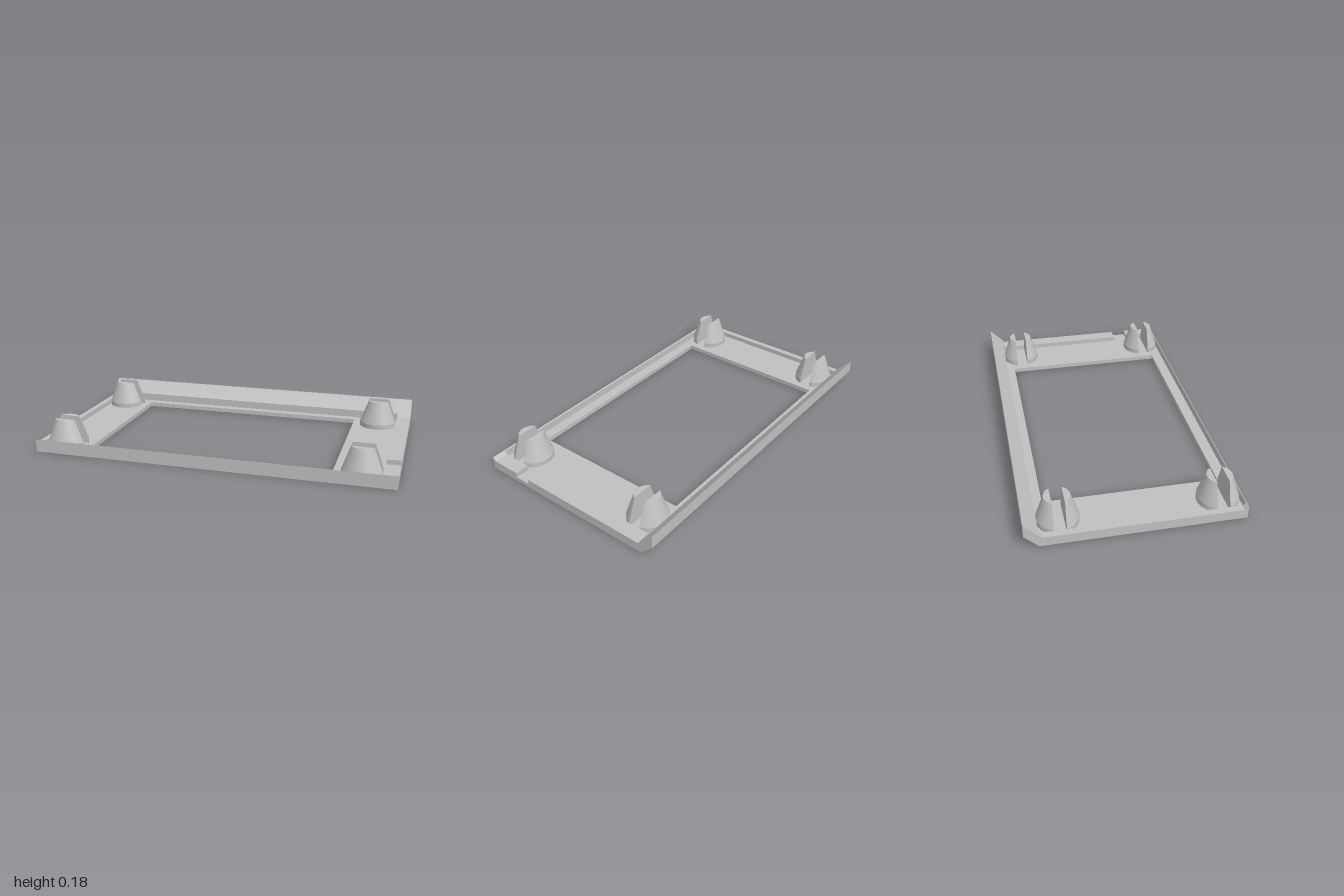
import * as THREE from 'three';
import { toCreasedNormals } from 'three/addons/utils/BufferGeometryUtils.js';

const FLOOR = 0.025, RIM = 0.053;
const X0 = -0.965, X1 = 0.92;      // recess, left to right
const Z0 = -0.49, Z1 = 0.56;       // recess, back to front

// Extrude a (z, y) outline along x from xa to xb
function alongX(points, xa, xb) {
  const shape = new THREE.Shape(points.map(([z, y]) => new THREE.Vector2(z, y)));
  const geo = new THREE.ExtrudeGeometry(shape, { depth: xb - xa, bevelEnabled: false });
  return geo.rotateY(-Math.PI / 2).translate(xb, 0, 0);
}

// Half of a tapered post with a vertical collar, cut flat along the slot
function halfPostGeometry() {
  const levels = [[FLOOR, 0.11], [RIM, 0.11], [0.18, 0.067]];
  const slot = 0.032, n = 24, ring = n + 1;
  const pos = [], index = [];
  for (const [y, r] of levels) {
    const a0 = Math.asin(slot / r);
    for (let k = 0; k <= n; k++) {
      const a = a0 + (Math.PI - 2 * a0) * k / n;
      pos.push(r * Math.cos(a), y, r * Math.sin(a));
    }
  }
  for (let j = 0; j < levels.length - 1; j++) {
    for (let k = 0; k < ring; k++) {
      const a = j * ring + k, b = j * ring + (k + 1) % ring;
      index.push(a, a + ring, b + ring, a, b + ring, b);
    }
  }
  const top = (levels.length - 1) * ring;
  for (let k = 1; k < n; k++) index.push(top, top + k + 1, top + k);
  const geo = new THREE.BufferGeometry();
  geo.setAttribute('position', new THREE.Float32BufferAttribute(pos, 3));
  geo.setIndex(index);
  return toCreasedNormals(geo, 0.3);
}

export function createModel() {
  const model = new THREE.Group();
  model.name = 'bezelFrame';
  const grey = new THREE.MeshStandardMaterial({ color: 0xc0c0c0 });
  grey.name = 'lightGrey';
  const add = (name, geo, parent = model) => {
    const mesh = new THREE.Mesh(geo, grey);
    mesh.name = name;
    parent.add(mesh);
    return mesh;
  };

  // Recessed floor with the rectangular window
  const floor = new THREE.Shape([[X0, -Z1], [X1, -Z1], [X1, -Z0], [X0, -Z0]]
    .map(p => new THREE.Vector2(...p)));
  floor.holes.push(new THREE.Path([[-0.71, -0.5], [-0.71, 0.44], [0.66, 0.44], [0.66, -0.5]]
    .map(p => new THREE.Vector2(...p))));
  add('floor', new THREE.ExtrudeGeometry(floor, { depth: FLOOR, bevelEnabled: false })
    .rotateX(-Math.PI / 2));

  // Side rims carry the full profile; the one on +x has a notch
  const back = [[Z0, 0], [0.565, 0], [0.565, 0.073], [0.545, RIM]];
  const lip = [[-0.475, RIM], [-0.565, 0.145], [-0.565, 0.073]];
  const notch = [[0.38, RIM], [0.38, FLOOR], [0.29, FLOOR], [0.29, RIM]];
  add('rightRim', alongX([...back, ...lip], -1, X0));
  add('leftRim', alongX([...back, ...notch, ...lip], X1, 1));

  // Slanted back lip and thin front lip between the rims
  add('backLip', alongX([[Z0, 0], [Z0, 0.07], [-0.565, 0.145], [-0.565, 0.073]], X0, X1));
  add('frontLip', alongX([[Z1, 0], [0.565, 0], [0.565, 0.073], [Z1, 0.068]], X0, X1));

  // Four slotted posts, one in each corner
  const half = halfPostGeometry();
  for (const x of [-0.855, 0.81]) {
    for (const z of [-0.38, 0.45]) {
      const post = new THREE.Group();
      post.name = 'slottedPost';
      post.position.set(x, 0, z);
      add('postFrontHalf', half, post);
      add('postBackHalf', half, post).rotation.y = Math.PI;
      model.add(post);
    }
  }
  return model;
}
